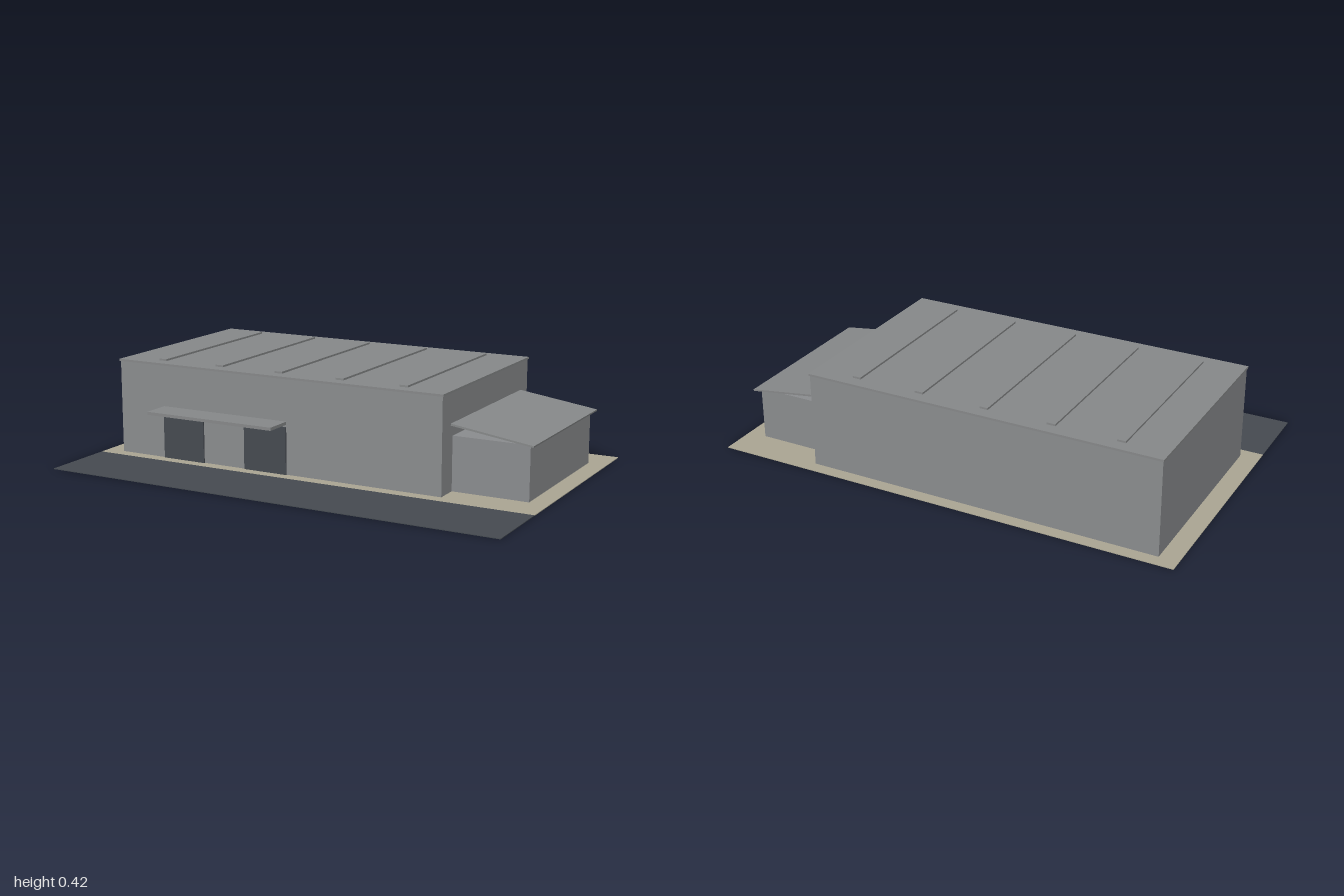
import * as THREE from 'three';

export function createModel() {
  const model = new THREE.Group();
  model.name = 'warehouse';

  const material = (name, color) => {
    const m = new THREE.MeshStandardMaterial({ color });
    m.name = name;
    return m;
  };
  const wall = material('wall grey', 0x8a8c8e);
  const roof = material('roof grey', 0x868889);
  const dark = material('asphalt grey', 0x454a50);
  const paving = material('paving beige', 0xaaa592);

  // Box given by its minimum and maximum on each axis
  const box = (name, mat, x0, x1, y0, y1, z0, z1) => {
    const mesh = new THREE.Mesh(new THREE.BoxGeometry(x1 - x0, y1 - y0, z1 - z0), mat);
    mesh.position.set((x0 + x1) / 2, (y0 + y1) / 2, (z0 + z1) / 2);
    mesh.name = name;
    model.add(mesh);
    return mesh;
  };

  // Site
  box('pavedYard', paving, -1, 1, 0, 0.003, -0.65, 0.325);
  box('road', dark, -1, 1, 0, 0.003, 0.325, 0.65);

  // Main hall with flat roof and raised roof strips
  box('mainHall', wall, -0.92, 0.595, 0.001, 0.402, -0.598, 0.273);
  box('mainRoof', roof, -0.924, 0.599, 0.402, 0.411, -0.602, 0.277);
  for (let i = 0; i < 5; i++) {
    const x = -0.735 + i * 0.285;
    box('roofStrip', roof, x - 0.018, x + 0.018, 0.411, 0.419, -0.55, 0.225);
  }

  // Loading doors under a canopy
  for (const x of [-0.6, -0.2]) {
    box('loadingDoor', dark, x - 0.1, x + 0.1, 0.003, 0.203, 0.273, 0.279);
  }
  box('doorCanopy', roof, -0.7, -0.1, 0.213, 0.226, 0.273, 0.395);

  // Side annex with a lean-to roof
  box('annex', wall, 0.595, 0.92, 0.001, 0.228, -0.498, 0.176);
  const slope = new THREE.Shape([
    new THREE.Vector2(0.595, 0.272), new THREE.Vector2(0.939, 0.224),
    new THREE.Vector2(0.94, 0.231), new THREE.Vector2(0.595, 0.28),
  ]);
  const leanTo = new THREE.Mesh(
    new THREE.ExtrudeGeometry(slope, { depth: 0.72, bevelEnabled: false }), roof);
  leanTo.position.z = -0.525;
  leanTo.name = 'annexRoof';
  model.add(leanTo);

  return model;
}
